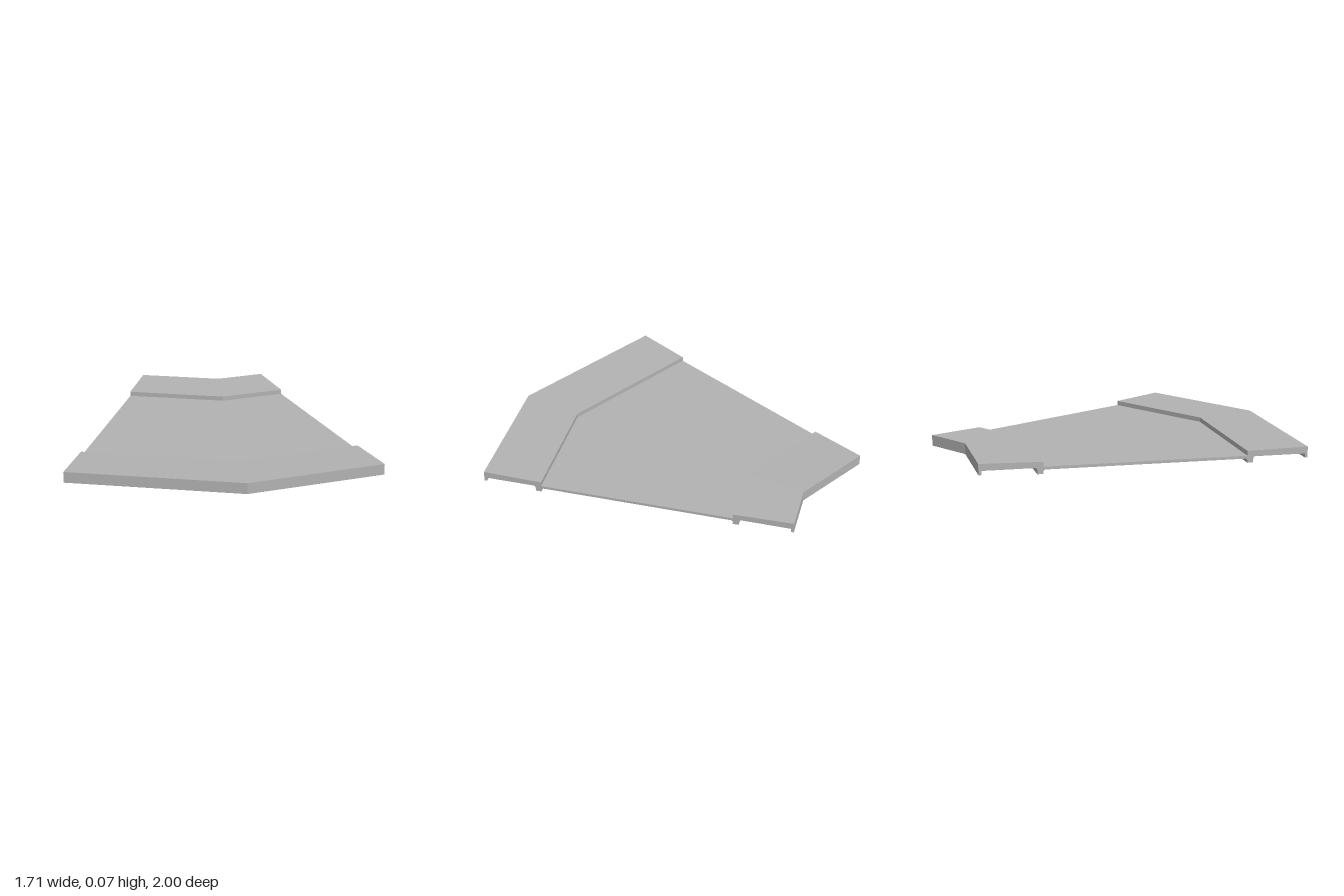
import * as THREE from 'three';

// Plan layout: v runs across the piece, from the back edge to the front edge.
const BACK = -0.845, FRONT = 1.0, CURB = 0.351;

// Start, mitre and end lines, each given by its back and front corner (x, z).
const STATIONS = [
  [[-0.853, BACK], [-0.853, FRONT]],
  [[-0.352, BACK], [0.16, FRONT]],
  [[-0.097, -1.0], [0.853, 0.58]],
];

function place(station, [v, y]) {
  const t = (v - BACK) / (FRONT - BACK);
  const [[x0, z0], [x1, z1]] = STATIONS[station];
  return [x0 + (x1 - x0) * t, y, z0 + (z1 - z0) * t];
}

// Sweeps a closed (v, y) profile along the bend, with capped ends and flat faces.
function sweep(name, points, material) {
  let profile = points.map(([v, y]) => new THREE.Vector2(v, y));
  if (THREE.ShapeUtils.isClockWise(profile)) profile.reverse();
  const caps = THREE.ShapeUtils.triangulateShape(profile, []);
  profile = profile.map((p) => [p.x, p.y]);
  const positions = [];
  const add = (...corners) => corners.forEach(([s, i]) => positions.push(...place(s, profile[i])));

  const last = STATIONS.length - 1;
  for (let s = 0; s < last; s++) {
    for (let i = 0; i < profile.length; i++) {
      const j = (i + 1) % profile.length;
      add([s, i], [s + 1, j], [s, j]);
      add([s, i], [s + 1, i], [s + 1, j]);
    }
  }
  for (const [a, b, c] of caps) {
    add([0, a], [0, b], [0, c]);
    add([last, a], [last, c], [last, b]);
  }

  const geometry = new THREE.BufferGeometry();
  geometry.setAttribute('position', new THREE.Float32BufferAttribute(positions, 3));
  geometry.computeVertexNormals();
  const mesh = new THREE.Mesh(geometry, material);
  mesh.name = name;
  return mesh;
}

export function createModel() {
  const group = new THREE.Group();
  group.name = 'bentRoadSection';
  const grey = new THREE.MeshStandardMaterial({ color: 0xb2b2b2 });
  grey.name = 'concrete grey';

  // Raised walkway: rib below the inner edge, thin slab, hanging outer lip.
  const walkway = [
    [0, 0], [0.034, 0], [0.034, 0.024], [0.037, 0.032], [0.045, 0.035],
    [CURB - 0.016, 0.035], [CURB - 0.016, 0.012], [CURB, 0.012], [CURB, 0.074], [0, 0.067],
  ];
  const innerFront = FRONT - CURB, innerBack = BACK + CURB;
  group.add(sweep('frontWalkway', walkway.map(([d, y]) => [innerFront + d, y]), grey));
  group.add(sweep('backWalkway', walkway.map(([d, y]) => [innerBack - d, y]), grey));

  // Thin roadway with small fillets where its underside meets the ribs.
  group.add(sweep('roadway', [
    [innerBack, 0.04], [innerBack, 0.013], [innerBack + 0.003, 0.021], [innerBack + 0.011, 0.024],
    [innerFront - 0.011, 0.024], [innerFront - 0.003, 0.021], [innerFront, 0.013], [innerFront, 0.04],
  ], grey));

  return group;
}
